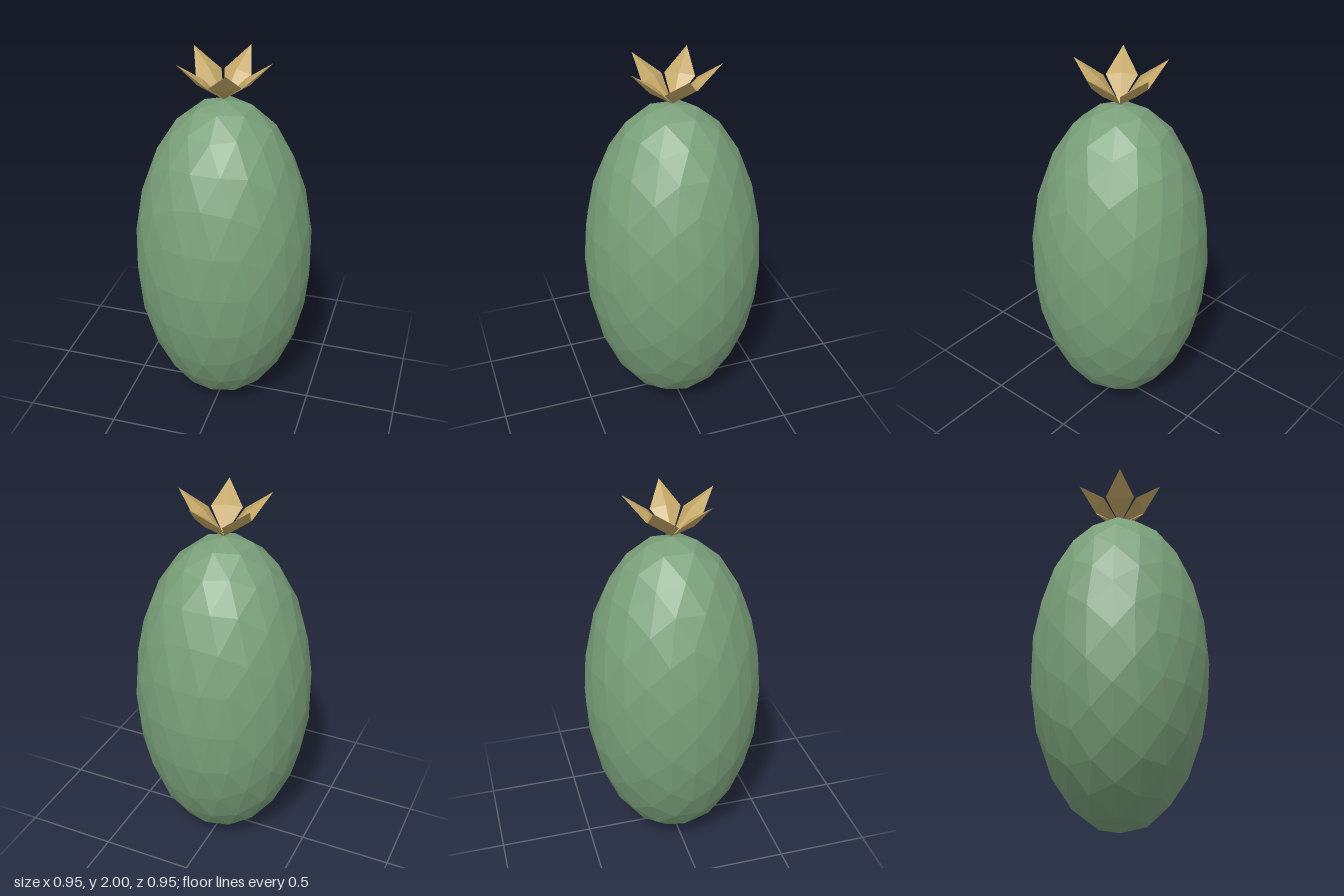
import * as THREE from 'three';

const BODY_RADIUS = 0.475;
const BODY_HALF_HEIGHT = 0.894;

// Split every triangle in four, pushing the midpoints out to the unit sphere
function subdivideSphere(geometry) {
  const p = geometry.attributes.position;
  const points = [];
  const mid = (a, b) => a.clone().add(b).normalize();
  for (let i = 0; i < p.count; i += 3) {
    const [a, b, c] = [0, 1, 2].map((k) => new THREE.Vector3().fromBufferAttribute(p, i + k));
    const ab = mid(a, b), bc = mid(b, c), ca = mid(c, a);
    points.push(a, ab, ca, ab, b, bc, ca, bc, c, ab, bc, ca);
  }
  return new THREE.BufferGeometry().setFromPoints(points);
}

export function createModel() {
  const model = new THREE.Group();
  model.name = 'fruit';

  const skin = new THREE.MeshStandardMaterial({ color: 0x7aa07a, flatShading: true });
  skin.name = 'green skin';
  const gold = new THREE.MeshStandardMaterial({ color: 0xc2a666, flatShading: true });
  gold.name = 'dry gold';

  // Faceted egg-shaped body
  const bodyGeometry = subdivideSphere(new THREE.IcosahedronGeometry(1, 1));
  bodyGeometry.rotateY(Math.PI / 2);
  bodyGeometry.scale(BODY_RADIUS, BODY_HALF_HEIGHT, BODY_RADIUS);
  bodyGeometry.translate(0, BODY_HALF_HEIGHT, 0);
  bodyGeometry.computeVertexNormals();
  const body = new THREE.Mesh(bodyGeometry, skin);
  body.name = 'body';
  model.add(body);

  // Crown of five flattened diamond petals leaning outwards
  const crown = new THREE.Group();
  crown.name = 'crown';
  crown.position.y = 2 * BODY_HALF_HEIGHT;
  const reach = 0.245, rise = 0.212;
  const length = Math.hypot(reach, rise);
  const petalGeometry = new THREE.OctahedronGeometry(1, 0);
  petalGeometry.scale(0.02, length / 2, 0.08);
  petalGeometry.translate(0, length / 2, 0);
  petalGeometry.rotateZ(-Math.atan2(reach, rise));
  petalGeometry.computeVertexNormals();
  for (let i = 0; i < 5; i++) {
    const petal = new THREE.Mesh(petalGeometry, gold);
    petal.name = 'petal' + (i + 1);
    petal.rotation.y = (i * 2 * Math.PI) / 5;
    crown.add(petal);
  }
  model.add(crown);

  return model;
}
